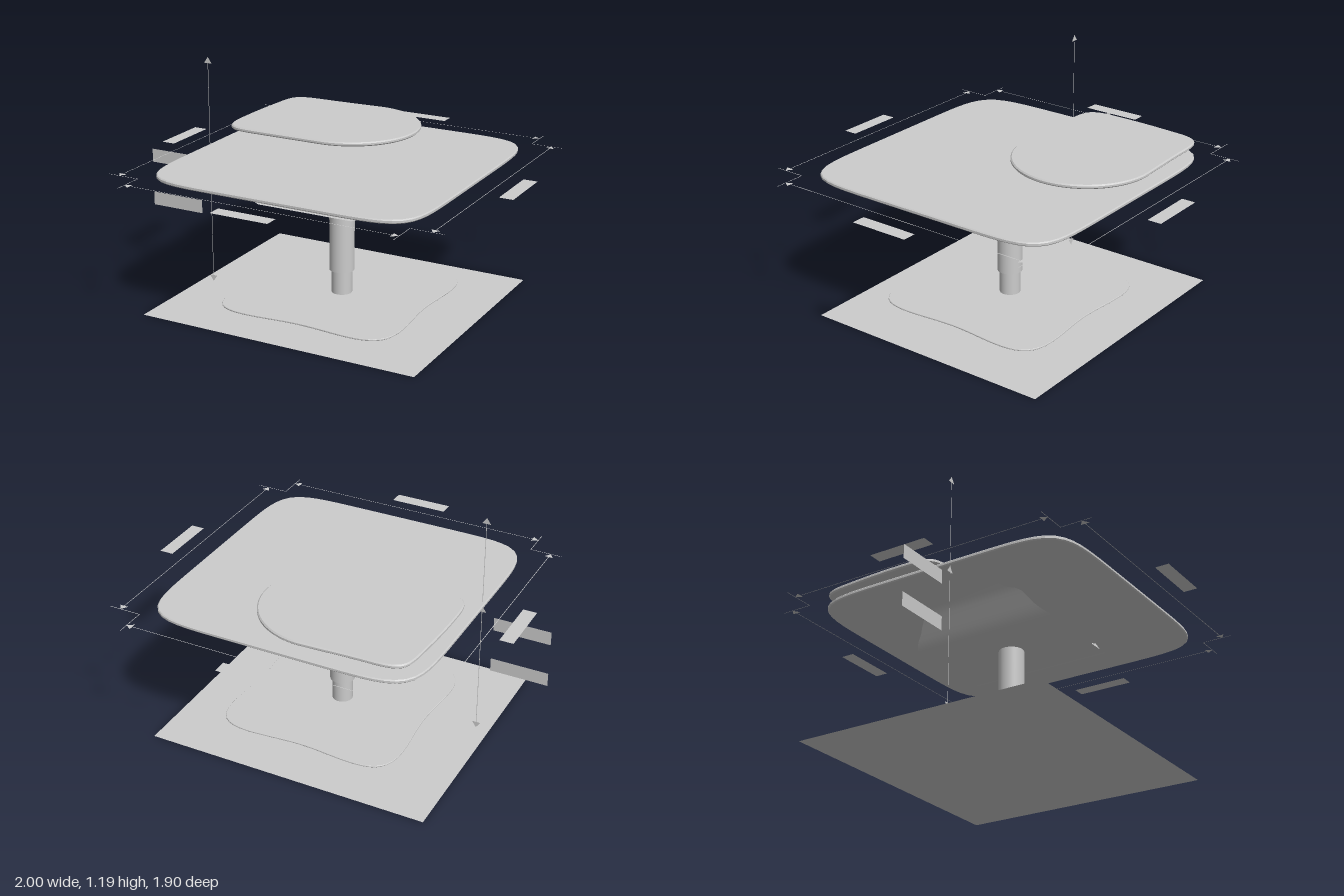
import * as THREE from 'three';

const grey = new THREE.MeshStandardMaterial({ color: 0xcccccc });
const sheet = new THREE.MeshStandardMaterial({ color: 0xcccccc, side: THREE.DoubleSide });
const CX = 0.045; // axis of the column

function add(parent, name, geometry, x = 0, y = 0, z = 0, material = grey) {
  const mesh = new THREE.Mesh(geometry, material);
  mesh.name = name;
  mesh.position.set(x, y, z);
  parent.add(mesh);
  return mesh;
}

// Square with bulging sides and soft corners; pinch draws the side middles in
function softSquare(half, power, pinch = 0) {
  const points = [];
  for (let i = 0; i < 120; i++) {
    const t = (i / 120) * Math.PI * 2, c = Math.cos(t), s = Math.sin(t);
    const r = half * (1 - pinch * Math.cos(2 * t) ** 2) /
      (Math.abs(c) ** power + Math.abs(s) ** power) ** (1 / power);
    points.push(new THREE.Vector2(c * r, s * r));
  }
  return new THREE.Shape(points);
}

// Horizontal slab with chamfered rim, its underside at y = 0
function slab(shape, height, chamfer) {
  const g = new THREE.ExtrudeGeometry(shape, {
    depth: height - 2 * chamfer, bevelThickness: chamfer, bevelSize: chamfer,
    bevelOffset: -chamfer, bevelSegments: 1, curveSegments: 32,
  });
  g.translate(0, 0, chamfer);
  g.rotateX(-Math.PI / 2);
  return g;
}

// Tray outline: rounded square on one end, half circle on the other (shape y = -z)
function trayShape() {
  const s = new THREE.Shape();
  s.moveTo(-0.085, -0.005);
  s.absarc(-0.085, 0.347, 0.352, -Math.PI / 2, Math.PI / 2, false);
  s.bezierCurveTo(-0.2, 0.695, -0.33, 0.685, -0.45, 0.685);
  s.bezierCurveTo(-0.58, 0.682, -0.605, 0.66, -0.617, 0.56);
  s.bezierCurveTo(-0.63, 0.4, -0.637, 0.3, -0.635, 0.15);
  s.bezierCurveTo(-0.633, 0.01, -0.59, 0, -0.47, -0.004);
  s.closePath();
  return s;
}

// Slung sheet: cross-section in x and y, widening in z towards the bottom
function hammock() {
  const side = [[0.45, 0.717], [0.385, 0.716], [0.365, 0.705], [0.35, 0.69], [0.33, 0.655],
    [0.315, 0.63], [0.3, 0.605], [0.283, 0.59], [0.268, 0.582], [0.25, 0.578]];
  const half = (y) => {
    const rows = [[0.578, 0.38], [0.6, 0.352], [0.63, 0.323], [0.66, 0.303], [0.69, 0.28], [0.71, 0.245], [0.717, 0.2]];
    const k = Math.max(1, rows.findIndex((r) => r[0] >= y));
    const [a, b] = [rows[k - 1], rows[k]];
    return a[1] + (b[1] - a[1]) * (y - a[0]) / (b[0] - a[0]);
  };
  const profile = [...side.map(([x, y]) => [CX - x, y]), ...side.slice().reverse().map(([x, y]) => [CX + x, y])];
  const pos = [], index = [];
  profile.forEach(([x, y], i) => {
    const w = half(y);
    pos.push(x, y, -w, x, y, w);
    if (i) {
      const a = 2 * i - 2;
      index.push(a, a + 2, a + 1, a + 1, a + 2, a + 3);
    }
  });
  const g = new THREE.BufferGeometry();
  g.setAttribute('position', new THREE.Float32BufferAttribute(pos, 3));
  g.setIndex(index);
  g.computeVertexNormals();
  return g;
}

// Flat strip between two points of a plane
function strip(parent, name, x1, y1, x2, y2, width = 0.003) {
  const m = add(parent, name, new THREE.PlaneGeometry(Math.hypot(x2 - x1, y2 - y1), width),
    (x1 + x2) / 2, (y1 + y2) / 2, 0, sheet);
  m.rotation.z = Math.atan2(y2 - y1, x2 - x1);
}

// Strip with an arrowhead at each end
function dimension(parent, x1, y1, x2, y2) {
  strip(parent, 'dimensionLine', x1, y1, x2, y2);
  const head = new THREE.ShapeGeometry(new THREE.Shape([
    new THREE.Vector2(0, 0), new THREE.Vector2(-0.032, 0.022), new THREE.Vector2(-0.032, -0.022)]));
  const a = Math.atan2(y2 - y1, x2 - x1);
  add(parent, 'arrowhead', head, x2, y2, 0, sheet).rotation.z = a;
  add(parent, 'arrowhead', head, x1, y1, 0, sheet).rotation.z = a + Math.PI;
}

export function createModel() {
  const model = new THREE.Group();
  model.name = 'pedestalTable';

  // Floor sheet
  const floor = add(model, 'floor', new THREE.PlaneGeometry(1.465, 1.31), 0.0175, 0, -0.02, sheet);
  floor.rotation.x = -Math.PI / 2;

  // Base plate on four tapered feet
  add(model, 'basePlate', slab(softSquare(0.484, 6, 0.06), 0.009, 0.002), CX, 0.036, 0);
  for (const sx of [-1, 1]) for (const sz of [-1, 1]) {
    add(model, 'foot', new THREE.CylinderGeometry(0.021, 0.016, 0.032, 24), CX + sx * 0.26, 0.022, sz * 0.26);
  }

  // Telescopic column and its mounting discs
  add(model, 'innerColumn', new THREE.CylinderGeometry(0.052, 0.052, 0.14, 48), CX, 0.11, 0);
  add(model, 'outerColumn', new THREE.CylinderGeometry(0.063, 0.063, 0.535, 48), CX, 0.4325, 0);
  add(model, 'columnCollar', new THREE.CylinderGeometry(0.082, 0.082, 0.012, 48), CX, 0.704, 0);
  add(model, 'mountingDisc', new THREE.CylinderGeometry(0.18, 0.175, 0.01, 64), CX, 0.713, 0);

  // Slung storage sheet
  add(model, 'storageSheet', hammock(), 0, 0, 0, sheet);

  // Table top
  add(model, 'tableTop', slab(softSquare(0.707, 7.5), 0.02, 0.005), CX, 0.717, 0);

  // Raised tray on two pivots
  for (const x of [-0.445, -0.182]) {
    add(model, 'trayPivot', new THREE.CylinderGeometry(0.051, 0.066, 0.045, 40), x, 0.758, -0.495);
    add(model, 'pivotFlange', new THREE.CylinderGeometry(0.115, 0.11, 0.013, 48), x, 0.788, -0.495);
  }
  add(model, 'tray', slab(trayShape(), 0.021, 0.006), 0, 0.794, 0);

  // Horizontal measuring marks level with the table top
  const plan = new THREE.Group();
  plan.name = 'planDimensions';
  plan.position.set(CX, 0.728, 0);
  plan.rotation.x = -Math.PI / 2;
  model.add(plan);
  for (const s of [-1, 1]) {
    const e = 0.707;
    dimension(plan, -e, s * 0.814, e, s * 0.814);
    dimension(plan, s * 0.814, -e, s * 0.814, e);
    for (const t of [-1, 1]) {
      strip(plan, 'extensionLine', s * e, t * e, s * e, t * 0.865);
      strip(plan, 'extensionLine', s * e, t * e, s * 0.87, t * e);
    }
    strip(plan, 'blankLabel', -0.15, s * 0.915, 0.145, s * 0.915, 0.07);
    strip(plan, 'blankLabel', s * 0.918, -0.15, s * 0.918, 0.15, 0.07);
  }

  // Upright measuring marks
  const upright = new THREE.Group();
  upright.name = 'heightDimensions';
  upright.position.z = 0.11;
  model.add(upright);
  dimension(upright, -0.647, 0.005, -0.647, 0.715);
  dimension(upright, -0.647, 0.005, -0.647, 1.19);
  strip(upright, 'blankLabel', -1, 0.4, -0.705, 0.4, 0.07);
  strip(upright, 'blankLabel', -1, 0.632, -0.71, 0.632, 0.07);

  return model;
}
